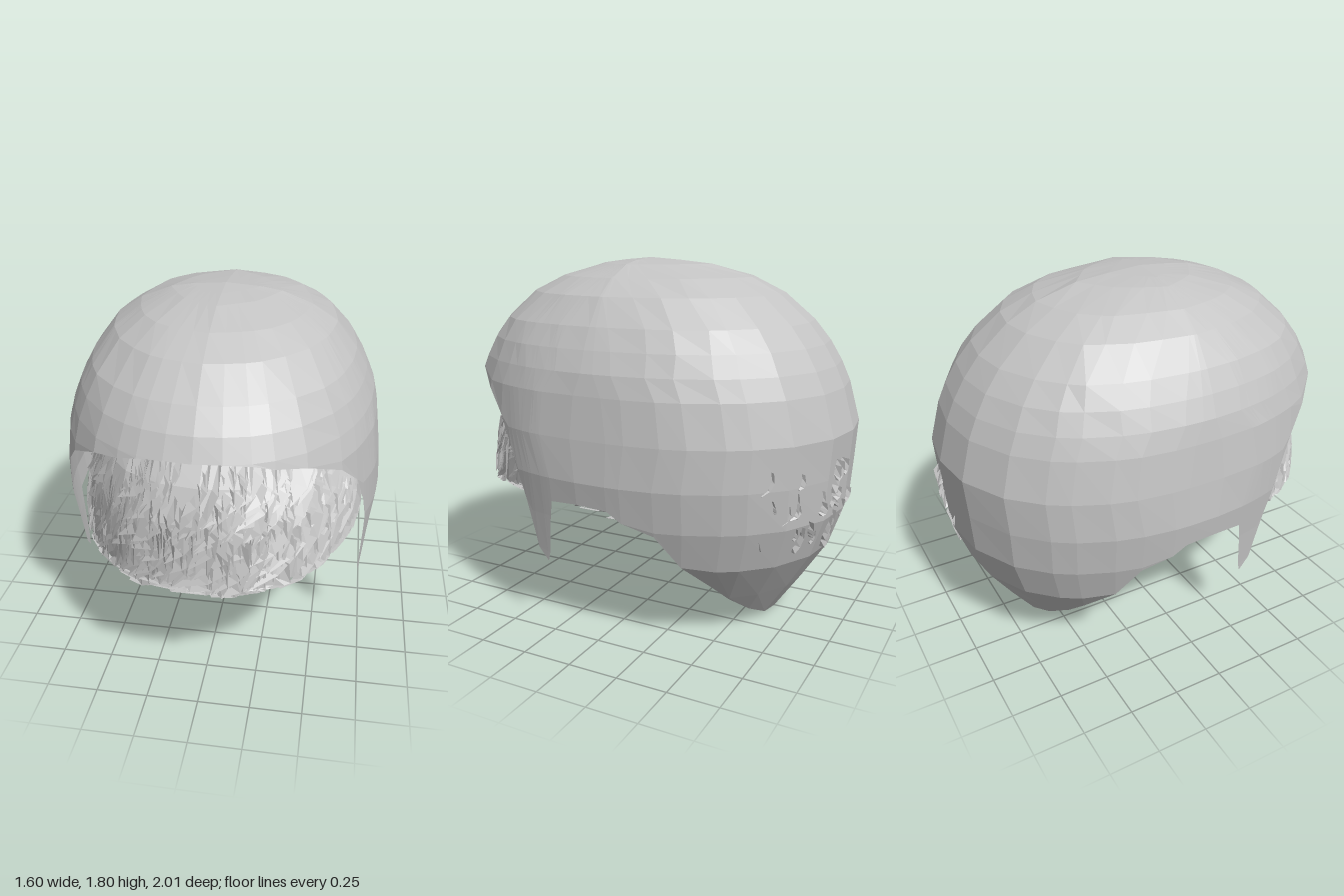
import * as THREE from 'three';

// Piecewise-linear lookup in rows [key, v1, v2, ...] sorted by falling key
function lookup(table, key, col) {
  let i = 0;
  while (i < table.length - 2 && key < table[i + 1][0]) i++;
  const a = table[i], b = table[i + 1];
  const t = Math.min(1, Math.max(0, (a[0] - key) / (a[0] - b[0])));
  return a[col] + (b[col] - a[col]) * t;
}

// Profiles: height, front z, back z, half width at front, half width at back
const CAP = [
  [1.8, 0.1, 0.1, 0, 0], [1.787, 0.25, -0.08, 0.17, 0.17],
  [1.77, 0.38, -0.25, 0.27, 0.27], [1.71, 0.57, -0.46, 0.42, 0.42],
  [1.63, 0.73, -0.61, 0.54, 0.54], [1.5, 0.87, -0.76, 0.64, 0.64],
  [1.4, 0.95, -0.84, 0.695, 0.695], [1.3, 1, -0.9, 0.74, 0.74],
  [1.2, 1, -0.945, 0.76, 0.76], [1, 1, -1, 0.785, 0.785],
  [0.8, 1, -0.985, 0.8, 0.8], [0.6, 1, -0.97, 0.775, 0.77],
  [0.4, 1, -0.9, 0.755, 0.71], [0.2, 1, -0.77, 0.74, 0.56],
  [0, 1, -0.63, 0.73, 0.4],
];
const HAIR = [
  [1.62, 0.05, 0, 0, 0], [1.5, 0.35, -0.6, 0.4, 0.45],
  [1.3, 0.62, -0.84, 0.56, 0.62], [1.2, 0.75, -0.9, 0.61, 0.68],
  [1.1, 0.86, -0.94, 0.65, 0.7], [0.95, 0.94, -0.97, 0.69, 0.72],
  [0.8, 0.965, -0.955, 0.71, 0.72], [0.65, 0.98, -0.94, 0.71, 0.71],
  [0.36, 0.97, -0.86, 0.68, 0.64],
];

// Height of a lengthwise slice of the upper cap at each half width
const SLICE = [
  [0.8, 0], [0.785, 0.2], [0.76, 0.4], [0.74, 0.5], [0.695, 0.6], [0.64, 0.7],
  [0.54, 0.83], [0.42, 0.91], [0.27, 0.97], [0.17, 0.987], [0, 1],
];

// Hems: z, height of the edge
const CAP_HEM = [
  [1, 1.3], [0.99, 1.3], [0.965, 1.29], [0.93, 1.265], [0.85, 1.24], [0.7, 1.16],
  [0.58, 1.05], [0.5, 0.9], [0.45, 0.78], [0.41, 0.66], [0.37, 0.5],
  [0.35, 0.41], [0.29, 0.35], [0.275, 0.4], [0.25, 0.58], [0.23, 0.68],
  [0.08, 0.69], [-0.08, 0.68], [-0.15, 0.63], [-0.3, 0.58], [-0.4, 0.42],
  [-0.5, 0.28], [-0.54, 0.19], [-0.59, 0.09], [-0.62, 0.015], [-0.63, 0],
];
const HAIR_HEM = [
  [0.98, 0.66], [0.95, 0.65], [0.85, 0.65], [0.65, 0.66], [0.45, 0.68],
  [0.2, 0.69], [0, 0.67], [-0.3, 0.6], [-0.5, 0.52], [-0.75, 0.42], [-0.87, 0.37],
];

const POWER = 2.2;
const rounded = (v) => Math.sign(v) * Math.abs(v) ** (2 / POWER);

// Point on the rounded shell; angle 0 is the front, positive towards +x
function surfacePoint(profile, angle, y, grow = 0) {
  const side = rounded(Math.sin(angle)), depth = rounded(Math.cos(angle));
  const col = depth > 0 ? 1 : 2;
  const width = THREE.MathUtils.lerp(lookup(profile, y, 3), lookup(profile, y, 4),
    THREE.MathUtils.clamp(-depth * 3, 0, 1));
  const x = side * width;
  let scale = Math.abs(depth), level = y;
  // the upper cap is made of lengthwise slices shrinking towards the sides
  if (profile === CAP && y > 0.8) {
    scale = Math.max(0, 1 - (Math.abs(x) / 0.8) ** POWER) ** (1 / POWER);
    level = 0.8 + (y - 0.8) / lookup(SLICE, Math.abs(x), 1);
  }
  return new THREE.Vector3(x + side * grow, y,
    scale * lookup(profile, level, col) + depth * grow);
}

// Angle at which the shell reaches a given z
function angleAt(profile, z, y) {
  let lo = 0, hi = Math.PI;
  for (let i = 0; i < 40; i++) {
    const mid = (lo + hi) / 2;
    if (surfacePoint(profile, mid, y).z > z) lo = mid;
    else hi = mid;
  }
  return (lo + hi) / 2;
}

function addQuad(out, a, b, c, d) {
  for (const [p, q, r] of [[a, b, d], [a, d, c]]) {
    const area = q.clone().sub(p).cross(r.clone().sub(p)).length();
    if (area > 1e-7) out.push(p, q, r);
  }
}

function geometryFrom(points) {
  const geometry = new THREE.BufferGeometry().setFromPoints(points);
  geometry.computeVertexNormals();
  return geometry;
}

// Dome trimmed along its hem, mirrored about x = 0
function dome(profile, hem, levels) {
  const half = hem.map(([z, y]) => [angleAt(profile, z, y), y]);
  half[0][0] = 0;
  half[half.length - 1][0] = Math.PI;
  const columns = [...half.slice(1).reverse().map(([a, y]) => [-a, y]), ...half];
  const at = ([a, y], level) => surfacePoint(profile, a, Math.max(level, y));
  const out = [];
  for (let j = 0; j < columns.length - 1; j++) {
    for (let i = 0; i < levels.length - 1; i++) {
      addQuad(out, at(columns[j], levels[i]), at(columns[j], levels[i + 1]),
        at(columns[j + 1], levels[i]), at(columns[j + 1], levels[i + 1]));
    }
  }
  return geometryFrom(out);
}

function seeded(seed) {
  return () => {
    seed = (seed * 16807) % 2147483647;
    return seed / 2147483647;
  };
}

// Tapered blades of hair lying on the hair body, one edge lifted
function strands(count, seed, range) {
  const rnd = seeded(seed), out = [];
  const between = ([lo, hi]) => lo + (hi - lo) * rnd();
  for (let k = 0; k < count; k++) {
    const start = between(range.angle), top = between(range.top);
    const length = between(range.length), width = between(range.width);
    const sweep = between(range.sweep), lift = between(range.lift);
    const hem = lookup(HAIR_HEM, surfacePoint(HAIR, start, 0.6).z, 1);
    const low = hem - 0.03 * rnd();
    const edge = [];
    for (let i = 0; i <= 3; i++) {
      const t = i / 3;
      const y = Math.max(low, top - length * t);
      const a = start + sweep * t * t;
      const w = width * [0.5, 1, 0.8, 0.2][i];
      edge.push([
        surfacePoint(HAIR, a - w / 2, y, range.grow),
        surfacePoint(HAIR, a + w / 2, Math.max(low, y - w * 0.4), range.grow + lift),
      ]);
    }
    for (let i = 0; i < 3; i++) {
      addQuad(out, edge[i][0], edge[i + 1][0], edge[i][1], edge[i + 1][1]);
    }
  }
  return geometryFrom(out);
}

export function createModel() {
  const grey = new THREE.MeshStandardMaterial({
    color: 0xc4c4c4, flatShading: true, side: THREE.DoubleSide,
  });
  grey.name = 'light grey';
  const group = new THREE.Group();
  group.name = 'hairpiece';
  const add = (name, geometry) => {
    const mesh = new THREE.Mesh(geometry, grey);
    mesh.name = name;
    group.add(mesh);
  };

  // Smooth outer cap with sideburns and pointed nape
  add('outerCap', dome(CAP, CAP_HEM,
    [1.8, 1.787, 1.77, 1.71, 1.63, 1.5, 1.4, 1.3, 1.2, 1, 0.8, 0.6, 0.4, 0.2, 0]));

  // Inner hair body
  add('innerHair', dome(HAIR, HAIR_HEM,
    [1.62, 1.5, 1.3, 1.2, 1.1, 0.95, 0.8, 0.65, 0.5, 0.36]));

  // Swept fringe
  add('fringeStrands', strands(300, 71, {
    angle: [-1.2, 1.45], top: [0.74, 1.27], length: [0.16, 0.36], width: [0.05, 0.12],
    sweep: [-0.32, -0.02], lift: [0.008, 0.03], grow: -0.01,
  }));

  // Strands lining the back
  add('backStrands', strands(150, 915, {
    angle: [1.5, 4.78], top: [0.6, 0.95], length: [0.2, 0.45], width: [0.05, 0.12],
    sweep: [-0.15, 0.15], lift: [-0.04, -0.01], grow: -0.01,
  }));

  // Stray tips showing through the back of the cap
  add('strayTips', strands(28, 333, {
    angle: [2.3, 3.3], top: [0.5, 0.92], length: [0.06, 0.14], width: [0.04, 0.08],
    sweep: [-0.05, 0.05], lift: [0.02, 0.035], grow: 0.02,
  }));

  return group;
}
